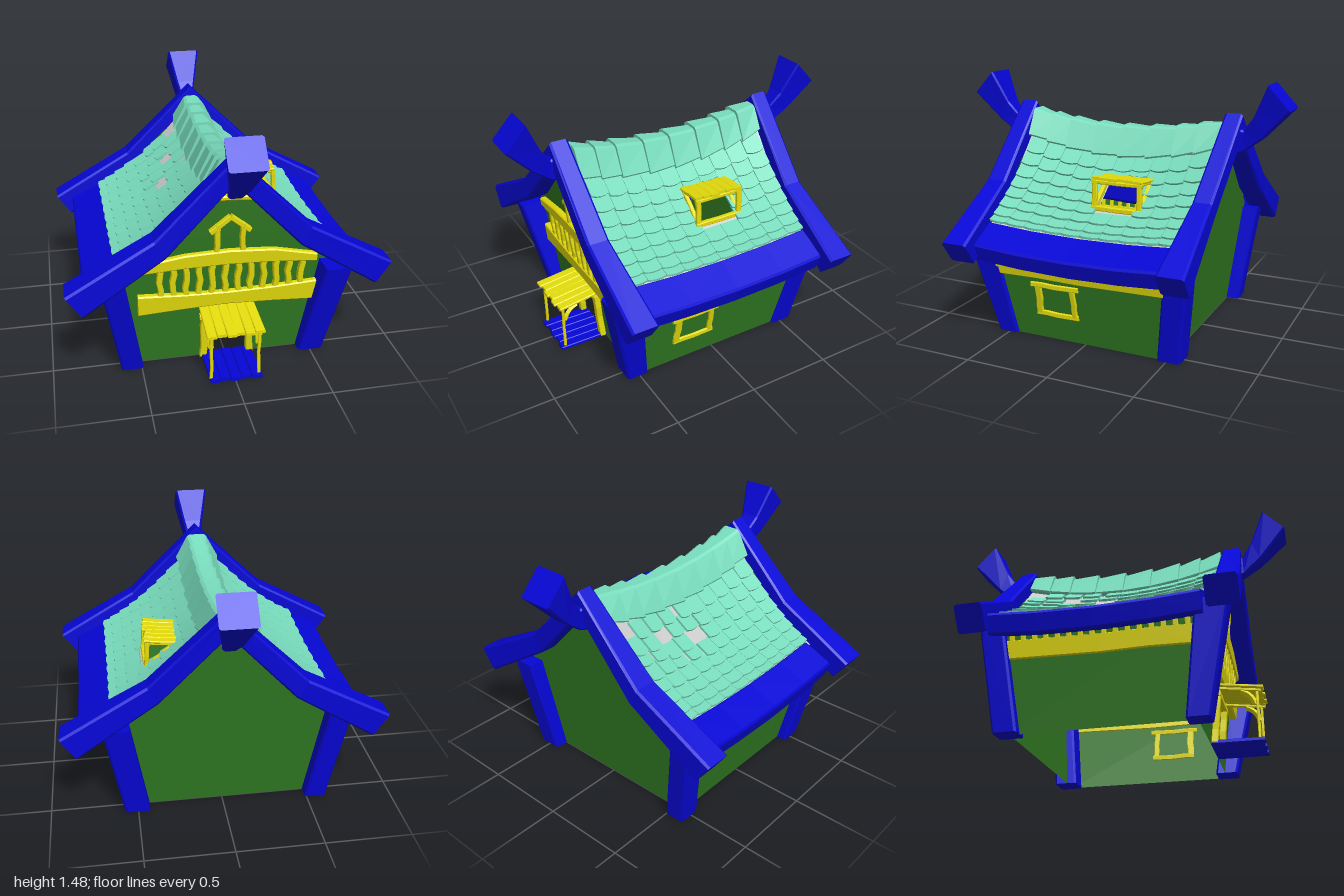
import * as THREE from 'three';

const mat = (color, side = THREE.FrontSide) => new THREE.MeshStandardMaterial({ color, side, flatShading: true });
const V = (x, y, z) => new THREE.Vector3(x, y, z);
const lerp = THREE.MathUtils.lerp;

// Cuts the corners of a ring of points by a distance b
function chamfer(pts, b) {
  const toward = (p, q) => p.clone().lerp(q, Math.min(0.3, b / p.distanceTo(q)));
  return pts.flatMap((p, i) => [
    toward(p, pts[(i + pts.length - 1) % pts.length]),
    toward(p, pts[(i + 1) % pts.length])]);
}

// Closed solid through a list of convex rings
function loft(rings) {
  const tris = [], n = rings[0].length, last = rings.length - 1;
  for (let r = 0; r < last; r++) for (let i = 0; i < n; i++) {
    const j = (i + 1) % n, A = rings[r], B = rings[r + 1];
    tris.push([A[i], A[j], B[j]], [A[i], B[j], B[i]]);
  }
  for (let i = 1; i < n - 1; i++) {
    tris.push([rings[0][0], rings[0][i + 1], rings[0][i]]);
    tris.push([rings[last][0], rings[last][i], rings[last][i + 1]]);
  }
  // turn the faces outward if the rings ran the other way
  const o = rings[0][0];
  const volume = tris.reduce((s, [a, b, c]) => s +
    a.clone().sub(o).dot(b.clone().sub(o).cross(c.clone().sub(o))), 0);
  if (volume < 0) tris.forEach(t => t.reverse());
  const geo = new THREE.BufferGeometry().setFromPoints(tris.flat());
  geo.computeVertexNormals();
  return geo;
}

// Slightly crooked timber from a to b with half-extents u and v
function stick(a, b, u, v, wobble = 0.15, seed = 0) {
  const rings = [], n = wobble ? 4 : 1;
  for (let i = 0; i <= n; i++) {
    const c = a.clone().lerp(b, i / n).addScaledVector(u, wobble * Math.sin(i * 2.1 + seed));
    rings.push(chamfer([[-1, -1], [1, -1], [1, 1], [-1, 1]].map(([p, q]) =>
      c.clone().addScaledVector(u, p).addScaledVector(v, q)), 0.004));
  }
  return loft(rings);
}

const wallZ = y => 0.5 + 0.1 * y;
const wallX = y => 0.553 + 0.187 * y;

// Roof surface: t runs from ridge to eave, sagging at mid length
function roofPoint(s, t, z) {
  const sag = (0.09 - 0.06 * t) * (1 - (z / 0.6) ** 2);
  return V(s * (0.1 + 0.52 * t), 1.11 - 0.6 * t + 0.17 * t * t - sag, z);
}

export function createModel() {
  const model = new THREE.Group();
  const blue = mat(0x0606d6), yellow = mat(0xe4dc0c), tile = mat(0x78dcbc);
  const green = mat(0x307822, THREE.DoubleSide), grey = mat(0xcccccc, THREE.DoubleSide);
  const add = (name, geo, material, parent = model) => {
    const m = new THREE.Mesh(geo, material);
    m.name = name;
    parent.add(m);
    return m;
  };
  const group = name => { const g = new THREE.Group(); g.name = name; model.add(g); return g; };

  // Leaning walls; the front one has a door opening
  for (const f of [1, -1]) {
    const shape = new THREE.Shape([[-0.555, 0.01], [0.555, 0.01], [0.665, 0.6], [0.4, 0.82], [0, 1.2],
      [-0.4, 0.82], [-0.665, 0.6]].map(p => new THREE.Vector2(...p)));
    if (f > 0) shape.holes.push(new THREE.Path([[-0.115, 0.02], [-0.115, 0.29], [0.115, 0.29], [0.115, 0.02]]
      .map(p => new THREE.Vector2(...p))));
    const geo = new THREE.ShapeGeometry(shape), p = geo.attributes.position;
    for (let i = 0; i < p.count; i++) p.setZ(i, f * wallZ(p.getY(i)));
    geo.computeVertexNormals();
    add(f > 0 ? 'frontWall' : 'backWall', geo, green);
  }
  for (const s of [1, -1]) {
    const geo = new THREE.PlaneGeometry(1, 1), p = geo.attributes.position;
    for (let i = 0; i < 4; i++) {
      const y = p.getY(i) > 0 ? 0.6 : 0.01;
      p.setXYZ(i, s * wallX(y), y, p.getX(i) * 2 * wallZ(y));
    }
    geo.computeVertexNormals();
    add('sideWall', geo, green);
  }

  // Corner posts
  for (const s of [1, -1]) for (const f of [1, -1]) {
    const xs = s > 0 ? [[0.43, 0.575], [0.53, 0.68]] : [[0.49, 0.615], [0.585, 0.715]];
    const zs = f > 0 ? [[0.445, 0.573], [0.525, 0.705]] : [[0.445, 0.58], [0.52, 0.655]];
    const ring = (k, y) => chamfer([[0, 0], [1, 0], [1, 1], [0, 1]].map(([i, j]) =>
      V(s * xs[k][i], y, f * zs[k][j])), 0.012);
    add('cornerPost', loft([ring(0, 0.01), ring(1, 0.61)]), blue);
  }

  // Bent gable beams, wider toward the eaves: [upper xy, lower xy]
  const bargeXY = [[0, 1.31, 0, 1.17], [0.43, 0.89, 0.37, 0.785], [0.905, 0.63, 0.815, 0.5]];
  for (const s of [1, -1]) for (const f of [1, -1]) {
    const zs = f > 0
      ? [[0.61, 0.72], s > 0 ? [0.59, 0.715] : [0.6, 0.74], s > 0 ? [0.555, 0.71] : [0.6, 0.77]]
      : [[0.61, 0.715], s > 0 ? [0.58, 0.69] : [0.595, 0.735], [0.565, 0.72]];
    add('gableBeam', loft(bargeXY.map(([ux, uy, lx, ly], k) => chamfer([
      V(s * ux, uy, f * zs[k][0]), V(s * ux, uy, f * zs[k][1]),
      V(s * lx, ly, f * zs[k][1]), V(s * lx, ly, f * zs[k][0])], 0.012))), blue);
  }

  // Ridge horns: [upper zy, lower zy, half width]
  for (const f of [1, -1]) {
    const sections = [[0.68, 1.24, 0.68, 1.08, 0.035], [0.73, 1.22, 0.735, 1.1, 0.038],
      [0.79, 1.3, 0.84, 1.18, 0.06], [0.875, 1.485, 1, 1.35, 0.1]];
    add('ridgeHorn', loft(sections.map(([uz, uy, lz, ly, w]) => chamfer([
      V(-w, uy, f * uz), V(w, uy, f * uz), V(w, ly, f * lz), V(-w, ly, f * lz)], 0.01))), blue);
  }

  // Sagging eave beams
  for (const s of [1, -1]) {
    const rings = [-0.57, -0.3, 0, 0.3, 0.57].map(z => {
      const dy = -0.025 * (1 - (z / 0.57) ** 2);
      return chamfer([[0.62, 0.695], [0.81, 0.61], [0.77, 0.5], [0.61, 0.56]]
        .map(([x, y]) => V(s * x, y + dy, z)), 0.012);
    });
    add('eaveBeam', loft(rings), blue);
  }

  // Roof boarding, with an opening under the dormer
  const board = (s, t0, t1, z0, z1) => {
    const geo = new THREE.PlaneGeometry(1, 1, 8, 8), p = geo.attributes.position;
    for (let i = 0; i < p.count; i++) {
      const q = roofPoint(s, lerp(t0, t1, p.getX(i) + 0.5), lerp(z0, z1, p.getY(i) + 0.5));
      p.setXYZ(i, q.x, q.y, q.z);
    }
    geo.computeVertexNormals();
    add('roofBoarding', geo, grey);
  };
  board(-1, 0, 1.04, -0.6, 0.6);
  board(1, 0, 0.22, -0.6, 0.6);
  board(1, 0.57, 1.04, -0.6, 0.6);
  board(1, 0.22, 0.57, -0.6, -0.245);
  board(1, 0.22, 0.57, 0, 0.6);

  // Overlapping tiles with rounded lower edges; a patch on the right is loose and gappy
  const tiles = group('roofTiles');
  const outline = new THREE.Shape();
  outline.moveTo(-0.057, 0).lineTo(0.057, 0).lineTo(0.057, 0.9);
  outline.quadraticCurveTo(0, 1.12, -0.057, 0.9);
  const tileGeo = new THREE.ExtrudeGeometry(outline, { depth: 0.014, bevelEnabled: false, curveSegments: 4 });
  const missing = ['0,0', '1,2', '2,4'];
  let seed = 7;
  const rand = () => (seed = (seed * 16807) % 2147483647) / 2147483647 - 0.5;
  for (const s of [1, -1]) for (let k = 0; k < 8; k++) for (let c = 0; c < 10; c++) {
    const loose = s < 0 && k < 4 && c < 5, atDormer = s > 0 && (c === 3 || c === 4);
    const z = -0.5265 + 0.117 * c + (loose ? 0.03 * rand() : 0);
    const t = k / 8 + (loose ? 0.05 : 0.012) * rand();
    if (atDormer && k > 1 && k < 5) continue;
    if (s < 0 && missing.includes(k + ',' + c)) continue;
    const p0 = roofPoint(s, t, z), p1 = roofPoint(s, Math.min(t + (atDormer && k === 1 ? 0.09 : 0.16), 1), z);
    const along = roofPoint(s, t, z + 0.05).sub(roofPoint(s, t, z - 0.05));
    const n = along.cross(p1.clone().sub(p0)).normalize();
    if (n.y < 0) n.negate();
    p0.addScaledVector(n, 0.003);
    p1.addScaledVector(n, 0.02);
    const down = p1.clone().sub(p0), length = down.length();
    down.normalize();
    const across = down.clone().cross(n).normalize();
    const m = add('roofTile', tileGeo, tile, tiles);
    m.quaternion.setFromRotationMatrix(new THREE.Matrix4().makeBasis(across, down, across.clone().cross(down)));
    m.position.copy(p0);
    m.scale.set(loose ? 0.88 : 1, length, 1);
  }

  // Ridge caps, each flaring over the next
  const capZ = [-0.6, -0.47, -0.34, -0.175, 0, 0.17, 0.345, 0.475, 0.6];
  for (let i = 0; i < 8; i++) {
    const ring = (z, g) => {
      const q = (z / 0.6) ** 2, top = 1.19 + 0.065 * q + g, low = 1.03 + 0.09 * q - g * 0.5;
      return chamfer([V(-0.125 - g, low, z), V(-0.04 - g, top, z), V(0.04 + g, top, z), V(0.125 + g, low, z)], 0.012);
    };
    add('ridgeCap', loft([ring(capZ[i] - 0.005, 0), ring(capZ[i + 1], 0.016)]), tile);
  }

  // Bowed front trim beams: [x, top, bottom]
  const trims = [[[-0.51, 0.49, 0.36], [-0.25, 0.475, 0.375], [0, 0.47, 0.385], [0.25, 0.475, 0.375], [0.51, 0.49, 0.36]],
    [[-0.5, 0.69, 0.63], [-0.25, 0.73, 0.645], [0, 0.74, 0.65], [0.25, 0.725, 0.64], [0.5, 0.67, 0.62]],
    [[-0.135, 1.08, 1.05], [0, 1.08, 1.05], [0.145, 1.07, 1.04]]];
  for (const trim of trims) add('frontTrimBeam', loft(trim.map(([x, a, b]) => chamfer([
    V(x, a, wallZ(a) + 0.002), V(x, a, wallZ(a) + 0.045), V(x, b, wallZ(b) + 0.045), V(x, b, wallZ(b) + 0.002)], 0.008))), yellow);

  // Balusters, gable window and door frame: sticks on the front wall
  const onFront = (name, x0, y0, x1, y1, u, wobble = 0.2, s = 0) => add(name,
    stick(V(x0, y0, wallZ(y0) + 0.021), V(x1, y1, wallZ(y1) + 0.021), u, V(0, 0, 0.018), wobble, s), yellow);
  for (let i = 0; i < 12; i++) onFront('baluster', -0.385 + 0.073 * i, 0.46, -0.385 + 0.073 * i, 0.66, V(0.016, 0, 0), 0.4, i * 1.3);
  for (const s of [1, -1]) {
    onFront('gableWindowPost', s * 0.073, 0.72, s * 0.068, 0.9, V(0.014, 0, 0), 0.2, s);
    onFront('gableWindowRafter', s * 0.11, 0.855, 0, 0.945, V(s * 0.008, 0.012, 0), 0);
    onFront('doorPost', s * 0.135, 0.02, s * 0.132, 0.31, V(0.02, 0, 0), 0.2, s);
  }
  onFront('doorLintel', -0.16, 0.3, 0.16, 0.3, V(0, 0.016, 0));

  // Porch: floor boards, posts, brackets and plank roof
  for (let i = 0; i < 5; i++) {
    const x = -0.115 + 0.06 * i;
    add('porchFloorBoard', stick(V(x, 0.023, 0.5), V(x, 0.023, 0.795 - 0.01 * (i % 2)), V(0.029, 0, 0), V(0, 0.011, 0), 0), blue);
  }
  for (const s of [1, -1]) {
    add('porchPost', stick(V(s * 0.135, 0.03, 0.768), V(s * 0.135, 0.31, 0.768), V(0.009, 0, 0), V(0, 0, 0.008), 0.3, s), yellow);
    const curve = new THREE.QuadraticBezierCurve3(V(s * 0.135, 0.22, 0.755), V(s * 0.135, 0.28, 0.745), V(s * 0.135, 0.305, 0.68));
    add('porchBracket', new THREE.TubeGeometry(curve, 5, 0.016, 4), yellow);
    add('porchRail', stick(V(s * 0.135, 0.335, 0.54), V(s * 0.135, 0.302, 0.79), V(0.01, 0, 0), V(0, 0.009, 0), 0), yellow);
  }
  for (let i = 0; i < 6; i++) {
    const x = -0.133 + 0.053 * i;
    add('porchRoofPlank', stick(V(x, 0.352, 0.53), V(x + 0.004 * (i % 3 - 1), 0.315, 0.805 - 0.012 * (i % 2)),
      V(0.0275, 0, 0), V(0, 0.008 + 0.001 * (i % 2), 0), 0), yellow);
  }

  // Side walls: trim beam and rafter ends on both, window frame on the left
  const onSide = (side, name, z0, y0, z1, y1, u, wobble = 0.15) => add(name,
    stick(V(side * (wallX(y0) + 0.004), y0, z0), V(side * (wallX(y1) + 0.004), y1, z1), u, V(0.011, 0, 0), wobble), yellow);
  onSide(1, 'windowHead', 0.31, 0.358, 0.01, 0.36, V(0, 0.015, 0));
  onSide(1, 'windowSill', 0.29, 0.18, 0.025, 0.178, V(0, 0.015, 0));
  onSide(1, 'windowJamb', 0.27, 0.18, 0.265, 0.35, V(0, 0, 0.02));
  onSide(1, 'windowJamb', 0.045, 0.18, 0.05, 0.35, V(0, 0, 0.016));
  for (const s of [1, -1]) {
    onSide(s, 'sideTrimBeam', 0.53, 0.445, -0.52, 0.455, V(s * 0.0094, 0.05, 0), 0.08);
    for (let i = 0; i < 16; i++) onSide(s, 'rafterEnd', 0.48 - 0.064 * i, 0.48, 0.48 - 0.064 * i, 0.535, V(0, 0, 0.014), 0);
  }

  // Dormer: open frame with a plank roof
  const dormer = group('dormer');
  const bar = (name, a, b, u, v) => add(name, stick(a, b, u, v, 0.1), yellow, dormer);
  for (const z of [0.012, -0.262]) {
    bar('dormerPost', V(0.405, 0.775, z), V(0.395, 0.945, z), V(0, 0, 0.015), V(0.012, 0, 0));
    bar('dormerSideRail', V(0.395, 0.79, z), V(0.23, 0.93, z), V(0, 0, 0.012), V(0.01, 0.013, 0));
    bar('dormerTopRail', V(0.22, 0.925, z), V(0.4, 0.94, z), V(0, 0, 0.01), V(0, 0.009, 0));
  }
  bar('dormerSill', V(0.405, 0.785, 0.03), V(0.405, 0.785, -0.28), V(0, 0.014, 0), V(0.014, 0, 0));
  bar('dormerHead', V(0.395, 0.935, 0.03), V(0.395, 0.935, -0.28), V(0, 0.011, 0), V(0.012, 0, 0));
  for (let i = 0; i < 6; i++) {
    const z = -0.253 + 0.051 * i;
    bar('dormerPlank', V(0.205 + 0.006 * (i % 2), 0.935, z - 0.003), V(0.415 - 0.008 * (i % 3), 0.955, z + 0.003),
      V(0, 0, 0.0265), V(0, 0.007 + 0.001 * (i % 2), 0));
  }
  return model;
}
